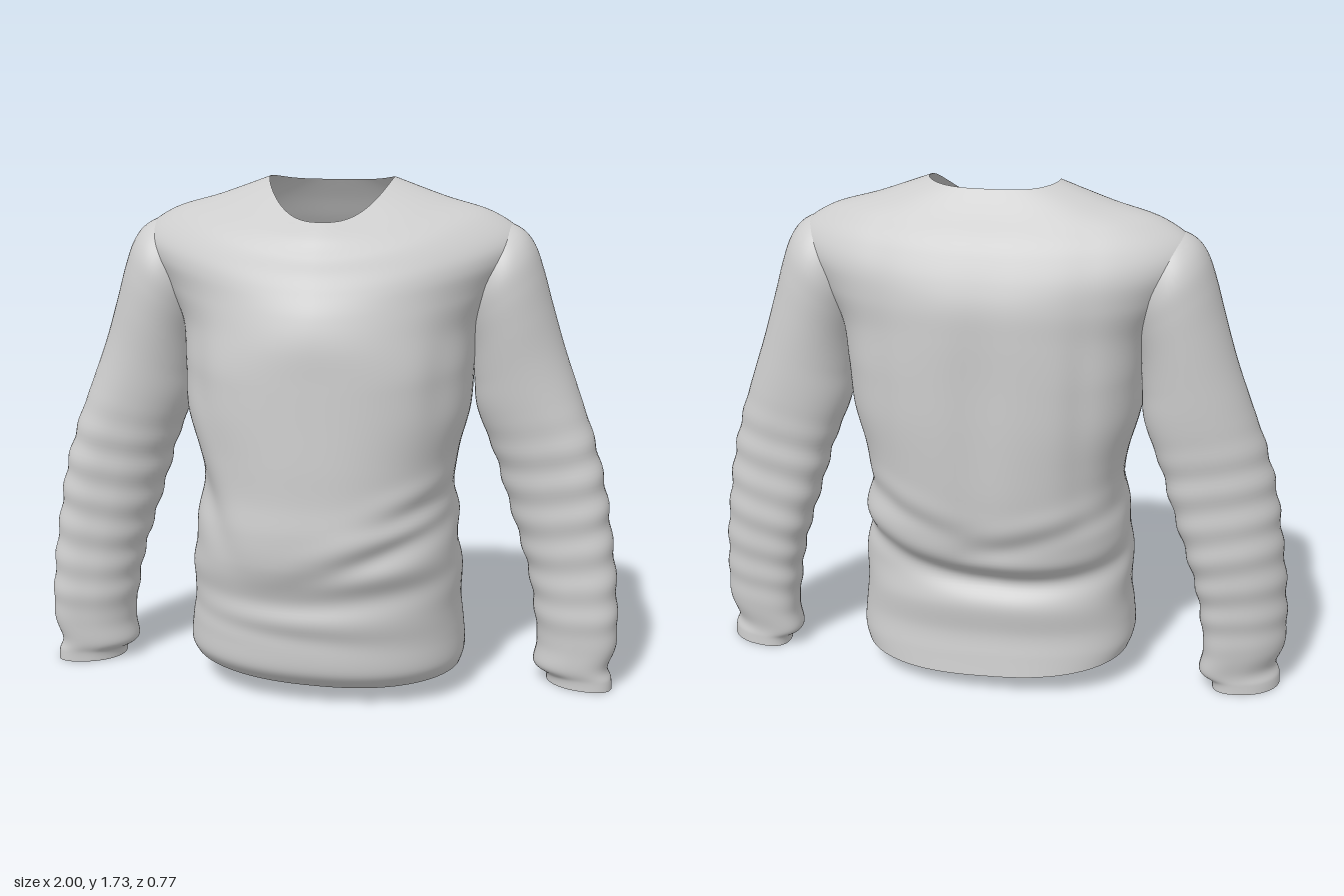
import * as THREE from 'three';

const { smoothstep } = THREE.MathUtils;

// Smooth (Catmull-Rom) sampling of a list of key rows, t in 0..1
function sampleRows(rows, t) {
  const last = rows.length - 1;
  const f = Math.min(t * last, last - 1e-6);
  const i = Math.floor(f), u = f - i;
  const at = (k) => rows[Math.max(0, Math.min(last, k))];
  const [p0, p1, p2, p3] = [at(i - 1), at(i), at(i + 1), at(i + 2)];
  return p1.map((b, k) => {
    const a = p0[k], c = p2[k], d = p3[k];
    return b + 0.5 * u * (c - a + u * (2 * a - 5 * b + 4 * c - d + u * (3 * (b - c) + d - a)));
  });
}

// Open tube through closed rings; point(row, angle) returns [x, y, z]
function loft(rows, perRow, sides, point, flip = false) {
  const steps = (rows.length - 1) * perRow;
  const pos = [], index = [];
  for (let i = 0; i <= steps; i++) {
    const row = sampleRows(rows, i / steps);
    for (let j = 0; j < sides; j++) pos.push(...point(row, (j / sides) * Math.PI * 2));
  }
  for (let i = 0; i < steps; i++) {
    for (let j = 0; j < sides; j++) {
      const a = i * sides + j, b = i * sides + ((j + 1) % sides);
      const c = a + sides, d = b + sides;
      if (flip) index.push(a, b, c, b, d, c);
      else index.push(a, c, b, b, c, d);
    }
  }
  const geo = new THREE.BufferGeometry();
  geo.setAttribute('position', new THREE.Float32BufferAttribute(pos, 3));
  geo.setIndex(index);
  geo.computeVertexNormals();
  return geo;
}

const bell = (v, w) => Math.exp(-(v * v) / (w * w));
const spow = (v, e) => Math.sign(v) * Math.pow(Math.abs(v), e);

// Body rings: half width, y at side / front / back, z front, z back, z of side
const BODY = [
  [0.465, 0.095, 0.065, 0.062, 0.285, -0.32, -0.02],
  [0.478, 0.14, 0.12, 0.13, 0.33, -0.31, -0.02],
  [0.472, 0.22, 0.21, 0.21, 0.338, -0.30, -0.02],
  [0.462, 0.31, 0.31, 0.31, 0.35, -0.31, -0.02],
  [0.465, 0.42, 0.41, 0.40, 0.352, -0.295, -0.02],
  [0.45, 0.51, 0.50, 0.49, 0.382, -0.325, -0.02],
  [0.447, 0.60, 0.60, 0.60, 0.386, -0.36, -0.03],
  [0.43, 0.71, 0.71, 0.71, 0.375, -0.375, -0.03],
  [0.445, 0.83, 0.83, 0.83, 0.37, -0.383, -0.04],
  [0.48, 0.97, 0.97, 0.97, 0.362, -0.388, -0.05],
  [0.49, 1.12, 1.10, 1.12, 0.355, -0.388, -0.07],
  [0.51, 1.26, 1.22, 1.26, 0.348, -0.388, -0.09],
  [0.58, 1.38, 1.31, 1.36, 0.325, -0.383, -0.1],
  [0.642, 1.485, 1.385, 1.44, 0.29, -0.36, -0.1],
  [0.634, 1.555, 1.44, 1.52, 0.262, -0.322, -0.1],
  [0.535, 1.622, 1.495, 1.58, 0.238, -0.285, -0.1],
  [0.38, 1.669, 1.55, 1.645, 0.205, -0.248, -0.1],
  [0.21, 1.73, 1.60, 1.712, 0.15, -0.205, -0.1],
];

// Cloth folds: face (1 front, -1 back), centre x, spread, y, slope, curve, width, depth
const FOLDS = [
  [1, 0.24, 0.22, 0.46, 0.35, 0, 0.045, 0.02],
  [1, 0.32, 0.14, 0.57, 0.3, 0, 0.04, 0.016],
  [1, 0.0, 0.45, 0.36, 0.08, 0.2, 0.045, 0.012],
  [1, -0.1, 0.35, 0.24, -0.06, 0.1, 0.035, 0.007],
  [1, -0.38, 0.1, 0.16, -1.4, 0, 0.1, 0.014],
  [-1, 0.0, 0.5, 0.40, 0.08, 0.45, 0.045, 0.026],
  [-1, -0.2, 0.25, 0.52, -0.3, 0, 0.04, 0.01],
  [-1, 0.25, 0.2, 0.56, 0.3, 0, 0.04, 0.01],
];

function bodyPoint([a, yS, yF, yB, zF, zB, zC], ang) {
  const c = Math.cos(ang), s = Math.sin(ang), front = s >= 0;
  // boxy below, tapering into the sleeves at the shoulder, egg shaped at the neckline
  const neck = smoothstep(yS, 1.6, 1.73);
  const shoulder = smoothstep(yS, 1.1, 1.45);
  const e = front ? 0.85 + 0.33 * shoulder - 0.1 * neck : 0.78 + 0.2 * shoulder - 0.2 * neck;
  const lift = Math.pow(Math.abs(c), 2 + neck);
  let x = a * spow(c, e);
  let y = yS * lift + (front ? yF : yB) * (1 - lift);
  let z = zC + (front ? zF - zC : zC - zB) * spow(s, e);
  let dent = 0;
  for (const [face, cx, spread, y0, slope, curve, w, depth] of FOLDS) {
    const v = y - (y0 + slope * x + curve * x * x);
    const side = smoothstep(face * s, -0.15, 0.35);
    dent += depth * side * bell(x - cx, spread) * (bell(v, w) - 0.5 * bell(v - 1.8 * w, w));
  }
  // long soft drapes down the back and beside the armholes
  const back = Math.max(0, -s) * bell(y - 1.0, 0.4);
  dent += back * (0.016 * bell(x, 0.08) + 0.012 * bell(Math.abs(x) - 0.33, 0.05));
  dent += 0.02 * Math.max(0, s) * bell(y - 1.08, 0.2) * bell(Math.abs(x) - 0.42, 0.06);
  x -= dent * c;
  z -= dent * s;
  y -= 0.04 * x * Math.max(0, 1 - y / 0.3);
  return [x, y, z];
}

// Sleeve rings from cuff to shoulder: outer x, y, inner x, y, z front, z back
const SLEEVE = [
  [0.988, 0.0, 0.762, 0.0, 0.04, -0.16],
  [0.985, 0.035, 0.755, 0.03, 0.04, -0.16],
  [0.972, 0.08, 0.715, 0.062, 0.045, -0.165],
  [0.998, 0.16, 0.725, 0.14, 0.05, -0.175],
  [0.996, 0.28, 0.712, 0.26, 0.055, -0.185],
  [0.985, 0.42, 0.69, 0.38, 0.05, -0.2],
  [0.965, 0.56, 0.655, 0.5, 0.048, -0.215],
  [0.942, 0.7, 0.61, 0.64, 0.048, -0.222],
  [0.9, 0.86, 0.56, 0.8, 0.05, -0.232],
  [0.838, 1.035, 0.5, 0.955, 0.055, -0.245],
  [0.79, 1.17, 0.488, 1.06, 0.06, -0.25],
  [0.744, 1.32, 0.48, 1.17, 0.07, -0.255],
  [0.712, 1.43, 0.465, 1.25, 0.075, -0.258],
  [0.682, 1.51, 0.45, 1.31, 0.07, -0.255],
  [0.643, 1.56, 0.43, 1.37, 0.045, -0.235],
  [0.585, 1.588, 0.41, 1.43, 0.0, -0.2],
  [0.51, 1.6, 0.4, 1.48, -0.04, -0.16],
];

function sleevePoint([ox, oy, ix, iy, zF, zB], ang) {
  const c = Math.cos(ang), s = Math.sin(ang);
  const mx = (ox + ix) / 2, my = (oy + iy) / 2;
  // gathered ripples on the forearm
  const reach = smoothstep(my, 0.12, 0.28) * (1 - smoothstep(my, 0.78, 0.98));
  const k = 1 + 0.024 * reach * Math.sin(((my + 0.02 * s) * Math.PI * 2) / 0.118);
  // the slightly boxy forearm section leans forward on its outer side
  const forearm = 1 - smoothstep(my, 0.65, 1.2);
  const lean = 0.035 * forearm, e = 1 - 0.12 * forearm;
  const depth = Math.sqrt(((zF - zB) / 2) ** 2 - lean * lean);
  return [
    mx + ((ox - ix) / 2) * spow(c, e) * k,
    my + ((oy - iy) / 2) * spow(c, e),
    (zF + zB) / 2 + (depth * spow(s, e) + lean * c) * k,
  ];
}

export function createModel() {
  const model = new THREE.Group();
  model.name = 'longSleeveShirt';
  const cloth = new THREE.MeshStandardMaterial({ color: 0xcccccc, side: THREE.DoubleSide });
  cloth.name = 'light grey cloth';

  const body = new THREE.Mesh(loft(BODY, 8, 128, bodyPoint), cloth);
  body.name = 'body';
  model.add(body);

  for (const side of [1, -1]) {
    const point = (row, ang) => {
      const [x, y, z] = sleevePoint(row, ang);
      return [side * x, y, z];
    };
    const sleeve = new THREE.Mesh(loft(SLEEVE, 10, 48, point, side < 0), cloth);
    sleeve.name = side > 0 ? 'leftSleeve' : 'rightSleeve';
    model.add(sleeve);
  }
  return model;
}
